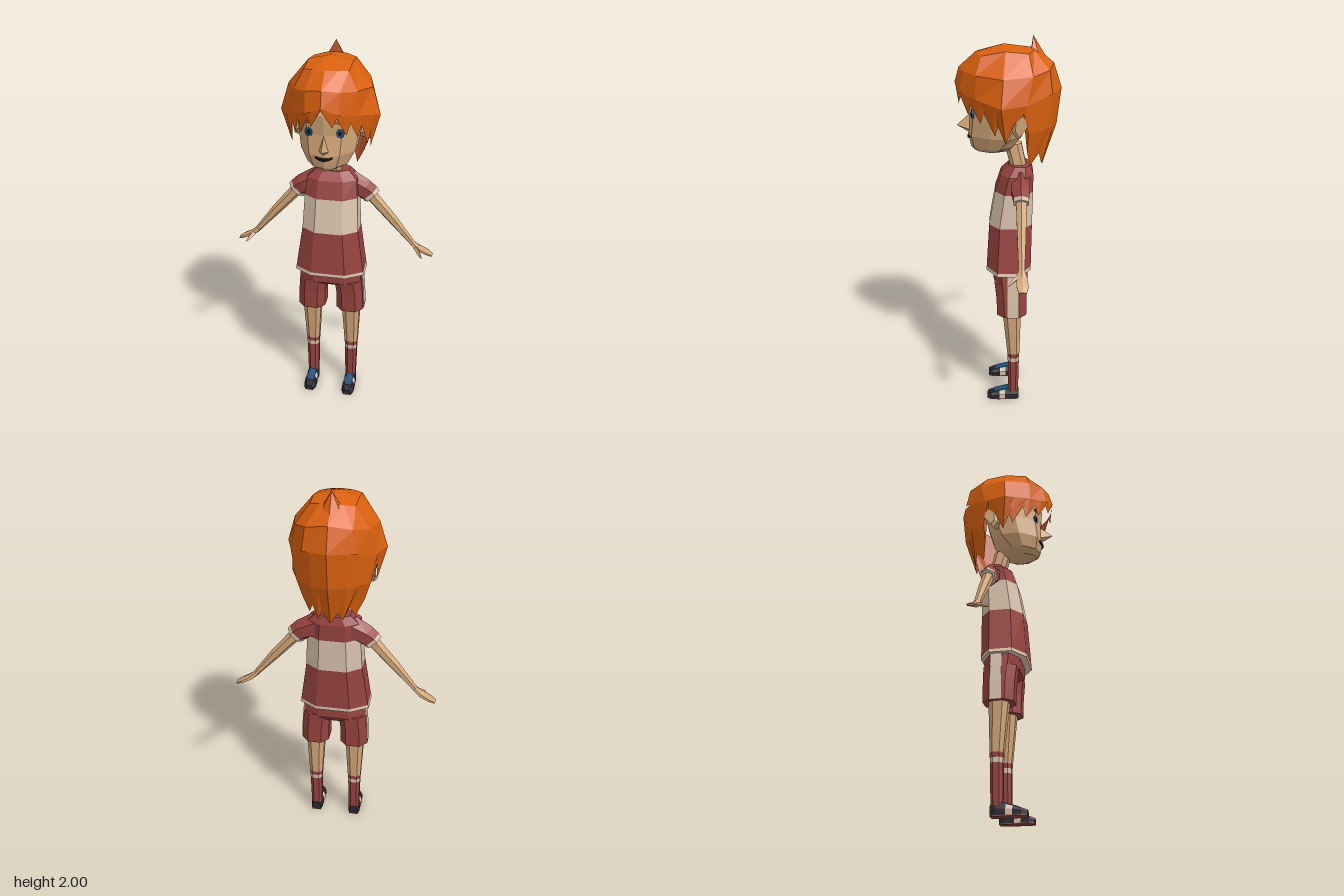
import * as THREE from 'three';

const mat = (name, color) => Object.assign(new THREE.MeshStandardMaterial({ color }), { name });
const M = {
  hair: mat('orange hair', 0xd9600f), hairInner: mat('inner hair', 0xb5532f), skin: mat('skin', 0xd2a679),
  red: mat('red cloth', 0x96433f), cream: mat('cream cloth', 0xd9c2ad), shoe: mat('dark shoe', 0x25252f),
  blue: mat('blue', 0x23507c), black: mat('black', 0x121214),
};

// Flat shaded mesh from triangles (arrays of three points); faces turn outward unless inward is set
function facets(name, tris, material, inward = false) {
  const pts = tris.flat(), c = [0, 1, 2].map(k => pts.reduce((s, p) => s + p[k], 0) / pts.length);
  const cv = new THREE.Vector3(...c), v = pts.map(p => new THREE.Vector3(...p));
  let vol = 0;
  for (let i = 0; i < v.length; i += 3) {
    const [a, b, d] = [0, 1, 2].map(k => v[i + k].clone().sub(cv));
    vol += a.dot(b.cross(d));
  }
  if ((vol < 0) !== inward) for (let i = 0; i < v.length; i += 3) [v[i + 1], v[i + 2]] = [v[i + 2], v[i + 1]];
  const g = new THREE.BufferGeometry().setFromPoints(v);
  g.computeVertexNormals();
  const m = new THREE.Mesh(g, material);
  m.name = name;
  return m;
}

// Triangles joining successive rings, with optional end caps
function skinRings(rings, capA = true, capB = true) {
  const t = [], n = rings[0].length;
  for (let r = 0; r + 1 < rings.length; r++) for (let i = 0; i < n; i++) {
    const j = (i + 1) % n, [a, b] = [rings[r], rings[r + 1]];
    t.push([a[i], a[j], b[j]], [a[i], b[j], b[i]]);
  }
  const z = rings[rings.length - 1];
  for (let i = 1; i + 1 < n; i++) {
    if (capA) t.push([rings[0][0], rings[0][i + 1], rings[0][i]]);
    if (capB) t.push([z[0], z[i], z[i + 1]]);
  }
  return t;
}
const loft = (name, rings, m, a, b) => facets(name, skinRings(rings, a, b), m);

// One band of colour between each pair of rings
function bands(name, rings, mats) {
  const g = new THREE.Group();
  g.name = name;
  mats.forEach((m, i) => g.add(loft(name + 'Band', [rings[i], rings[i + 1]], m, i === 0, i === mats.length - 1)));
  return g;
}

const mirrorHalf = h => h.concat(h.slice(1, -1).reverse().map(([x, y, z]) => [-x, y, z]));

// Horizontal eight-sided ring
function octa(y, w, zf, zb, cx = 0) {
  const c = (zf + zb) / 2, q = (zf - zb) / 4;
  const h = [[w / 2, zf], [w, c + q], [w, c - q], [w / 2, zb]];
  return [...h, ...h.slice().reverse().map(([x, z]) => [-x, z])].map(([x, z]) => [cx + x, y, z]);
}

// Ring across the arm, ru up the slope and rv along z
function armRing(s, x, y, z, ru, rv, n = 6) {
  return Array.from({ length: n }, (_, i) => {
    const a = (i + 0.5) / n * Math.PI * 2, u = Math.sin(a) * ru;
    return [s * (x + 0.73 * u), y + 0.68 * u, z + Math.cos(a) * rv];
  });
}

function makeHead() {
  const g = new THREE.Group();
  g.name = 'head';
  const ring = (y, w, zf, zb) => mirrorHalf([[0, y, zf], [0.55 * w, y, zf - 0.02],
    [w, y, zf - 0.42 * (zf - zb)], [w, y, zb + 0.06], [w / 2, y, zb], [0, y, zb - 0.005]]);
  g.add(loft('face', [ring(1.432, 0.06, 0.165, 0.0), ring(1.455, 0.1, 0.187, -0.02), ring(1.52, 0.135, 0.2, -0.07),
    ring(1.62, 0.15, 0.19, -0.1), ring(1.72, 0.16, 0.2, -0.12), ring(1.82, 0.12, 0.16, -0.1)], M.skin));
  g.add(loft('neck', [octa(1.33, 0.05, -0.02, -0.1), octa(1.47, 0.04, 0.018, -0.07)], M.skin));
  const top = [0, 1.625, 0.185], tip = [0, 1.56, 0.257], base = [0, 1.525, 0.195];
  const l = [0.027, 1.54, 0.182], r = [-0.027, 1.54, 0.182];
  g.add(facets('nose', [[top, tip, l], [top, r, tip], [l, tip, base], [r, base, tip], [top, l, base], [top, base, r]], M.skin));
  g.add(loft('mouth', [-0.042, -0.022, 0, 0.022, 0.042].map(x => {
    const y = 1.503 + 5 * x * x, z = 0.204 - 0.28 * Math.abs(x), h = 0.008 - 0.08 * Math.abs(x);
    return [[x, y - h, z - 0.008], [x, y - h, z], [x, y + h, z], [x, y + h, z - 0.008]];
  }), M.black));
  for (const s of [1, -1]) {
    // Eye disc, pupil and brow
    for (const [name, rad, z, m] of [['eye', 0.02, 0.173, M.blue], ['pupil', 0.009, 0.1765, M.black]]) {
      const e = new THREE.Mesh(new THREE.CylinderGeometry(rad, rad, 0.009, 8).rotateX(Math.PI / 2), m);
      e.scale.y = 1.15;
      e.position.set(s * 0.075, 1.633, z);
      e.rotation.y = s * 0.24;
      e.name = name;
      g.add(e);
    }
    const brow = new THREE.Mesh(new THREE.BoxGeometry(0.05, 0.012, 0.009), M.hairInner);
    brow.position.set(s * 0.075, 1.685, 0.179);
    brow.rotation.set(0, s * 0.24, -s * 0.12);
    brow.name = 'brow';
    g.add(brow);
    // Ear widening outward
    const ear = (x, k, dz) => [[1.535, -0.045], [1.57, -0.02], [1.65, -0.025], [1.66, -0.07], [1.6, -0.095]]
      .map(([y, z]) => [s * x, 1.6 + (y - 1.6) * k, -0.055 + (z + 0.055) * k + dz]);
    g.add(loft('ear', [ear(0.135, 0.75, 0.01), ear(0.185, 1, 0), ear(0.2, 0.8, -0.01)], M.skin));
  }
  return g;
}

function makeHair() {
  const g = new THREE.Group();
  g.name = 'hair';
  // Half rings from front to back: crown, upper, widest and nape
  const crown = [[0, 1.92, 0.16], [0.06, 1.92, 0.145], [0.105, 1.915, 0.125], [0.108, 1.935, 0.01], [0.105, 1.925, -0.1], [0.055, 1.935, -0.125], [0, 1.94, -0.14]];
  const upper = [[0, 1.85, 0.24], [0.08, 1.84, 0.215], [0.15, 1.83, 0.15], [0.205, 1.82, 0.02], [0.175, 1.83, -0.12], [0.11, 1.85, -0.2], [0, 1.87, -0.225]];
  const wide = [[0, 1.775, 0.262], [0.08, 1.74, 0.235], [0.155, 1.72, 0.155], [0.245, 1.69, 0.03], [0.205, 1.7, -0.09], [0.125, 1.74, -0.215], [0, 1.75, -0.265]];
  const nape = [[0.185, 1.56, -0.1], [0.12, 1.57, -0.2], [0, 1.57, -0.245]];
  const peak = mirrorHalf(crown).map(() => [0, 1.96, 0.02]);
  g.add(loft('hairCap', [mirrorHalf(wide), mirrorHalf(upper), mirrorHalf(crown), peak], M.hair, false, false));
  // Jagged lower edge: column position, then point
  const edge = [[0, 0, 1.765, 0.258], [0.6, 0.05, 1.68, 0.24], [0.8, 0.068, 1.72, 0.23], [1.3, 0.108, 1.632, 0.19],
    [1.6, 0.125, 1.69, 0.18], [2, 0.152, 1.603, 0.13], [2.2, 0.168, 1.66, 0.115], [2.6, 0.19, 1.55, 0.06],
    [2.75, 0.2, 1.6, 0.045], [3, 0.197, 1.515, 0.01], [3.4, 0.205, 1.62, -0.035], [3.85, 0.196, 1.645, -0.075],
    [4, 0.155, 1.46, -0.095], [4.4, 0.115, 1.38, -0.11], [4.8, 0.09, 1.44, -0.155], [5.3, 0.06, 1.375, -0.17],
    [5.6, 0.04, 1.42, -0.18], [6, 0, 1.355, -0.175]];
  const mix = (a, b, f) => a.map((v, i) => v + (b[i] - v) * f);
  const at = (ring, t) => { const i = Math.min(Math.floor(t), ring.length - 2); return mix(ring[i], ring[i + 1], t - i); };
  const low = edge.map(e => e.slice(1)), high = edge.map(e => at(wide, e[0]));
  const mid = edge.map((e, i) => e[0] >= 4 ? at(nape, e[0] - 4) : mix(high[i], low[i], 0.5));
  const locks = skinRings([low, mid, high].map(mirrorHalf), false, false);
  g.add(facets('hairLocks', locks, M.hair), facets('hairLocksInside', locks, M.hairInner, true));
  // Tuft on the crown
  const tip = [0, 2, -0.122], a = [-0.05, 1.915, -0.112], b = [0.05, 1.915, -0.112];
  const c = [0.05, 1.895, -0.155], d = [-0.05, 1.895, -0.155], e = [0, 1.9, -0.185];
  g.add(facets('tuft', [[tip, b, c], [tip, c, e], [tip, e, d], [tip, d, a]], M.hair));
  g.add(facets('tuftFront', [[a, b, tip], [a, [0, 1.9, -0.15], b]], M.hairInner));
  return g;
}

function makeArm(s) {
  const g = new THREE.Group();
  g.name = s > 0 ? 'leftArm' : 'rightArm';
  const R = (...p) => armRing(s, ...p);
  g.add(bands('sleeve', [R(0.05, 1.29, -0.065, 0.085, 0.055), R(0.15, 1.255, -0.065, 0.062, 0.053),
    R(0.19, 1.228, -0.067, 0.053, 0.045), R(0.204, 1.213, -0.067, 0.051, 0.043)], [M.red, M.red, M.cream]));
  g.add(loft('arm', [R(0.17, 1.25, -0.068, 0.034, 0.032), R(0.315, 1.088, -0.068, 0.027, 0.025),
    R(0.43, 0.953, -0.068, 0.015, 0.017)], M.skin));
  g.add(loft('hand', [R(0.425, 0.957, -0.068, 0.015, 0.017), R(0.46, 0.928, -0.068, 0.016, 0.03),
    R(0.505, 0.906, -0.072, 0.011, 0.033), R(0.535, 0.89, -0.072, 0.006, 0.022)], M.skin));
  g.add(loft('thumb', [R(0.445, 0.938, -0.055, 0.013, 0.014, 4), R(0.468, 0.915, -0.026, 0.01, 0.012, 4),
    R(0.483, 0.9, -0.008, 0.004, 0.006, 4)], M.skin));
  return g;
}

function makeLeg(s) {
  const g = new THREE.Group();
  g.name = s > 0 ? 'leftLeg' : 'rightLeg';
  const O = (y, w, zf, zb, cx) => octa(y, w, zf, zb, s * cx);
  g.add(loft('shortsLeg', [O(0.55, 0.074, 0.057, -0.1, 0.107), O(0.65, 0.073, 0.06, -0.1, 0.105), O(0.74, 0.075, 0.07, -0.1, 0.095)], M.red));
  // Side stripe of the shorts
  g.add(loft('sideStripe', [[0.55, 0.185], [0.65, 0.182], [0.74, 0.175], [0.81, 0.166]].map(([y, x]) =>
    [[x, 0.0], [x, -0.057], [x - 0.009, -0.057], [x - 0.009, 0.0]].map(([px, z]) => [s * px, y, z])), M.cream));
  g.add(bands('lowerLeg', [O(0.05, 0.03, 0.0, -0.058, 0.112), O(0.25, 0.034, 0.0, -0.062, 0.112), O(0.275, 0.035, 0.001, -0.063, 0.112),
    O(0.3, 0.037, 0.002, -0.064, 0.112), O(0.58, 0.052, 0.03, -0.072, 0.11)], [M.red, M.cream, M.red, M.skin]));
  // Shoe sections from heel to toe: z, half width, height
  const secs = [[-0.06, 0.026, 0.058], [-0.03, 0.033, 0.06], [0.015, 0.033, 0.058], [0.047, 0.035, 0.05], [0.09, 0.034, 0.038], [0.115, 0.022, 0.03]];
  const X = x => s * 0.113 + x;
  g.add(bands('shoe', secs.map(([z, w, h]) => [[-w, 0.006], [w, 0.006], [w, h * 0.6], [w * 0.6, h], [-w * 0.6, h], [-w, h * 0.6]]
    .map(([x, y]) => [X(x), y, z])), [M.shoe, M.shoe, M.cream, M.shoe, M.shoe]));
  g.add(loft('sole', secs.map(([z, w]) => [[-w, 0], [w, 0], [w, 0.006], [-w, 0.006]].map(([x, y]) => [X(x), y, z])), M.red));
  g.add(loft('tongue', [[-0.005, 0.068], [0.015, 0.062], [0.047, 0.053], [0.075, 0.045]].map(([z, y]) =>
    [[-0.021, y - 0.009], [0.021, y - 0.009], [0.021, y], [-0.021, y]].map(([x, py]) => [X(x), py, z])), M.blue));
  return g;
}

export function createModel() {
  const model = new THREE.Group();
  model.name = 'footballBoy';
  model.add(makeHead(), makeHair());
  model.add(bands('shirt', [octa(0.797, 0.188, 0.113, -0.122), octa(0.815, 0.183, 0.112, -0.122), octa(1.05, 0.148, 0.097, -0.126),
    octa(1.23, 0.138, 0.065, -0.13), octa(1.32, 0.13, 0.035, -0.13), octa(1.362, 0.085, -0.005, -0.118)],
  [M.cream, M.red, M.cream, M.red, M.red]));
  model.add(loft('shortsHips', [octa(0.7, 0.1, 0.03, -0.08), octa(0.735, 0.17, 0.075, -0.105), octa(0.82, 0.16, 0.08, -0.105)], M.red));
  for (const s of [1, -1]) model.add(makeArm(s), makeLeg(s));
  return model;
}
